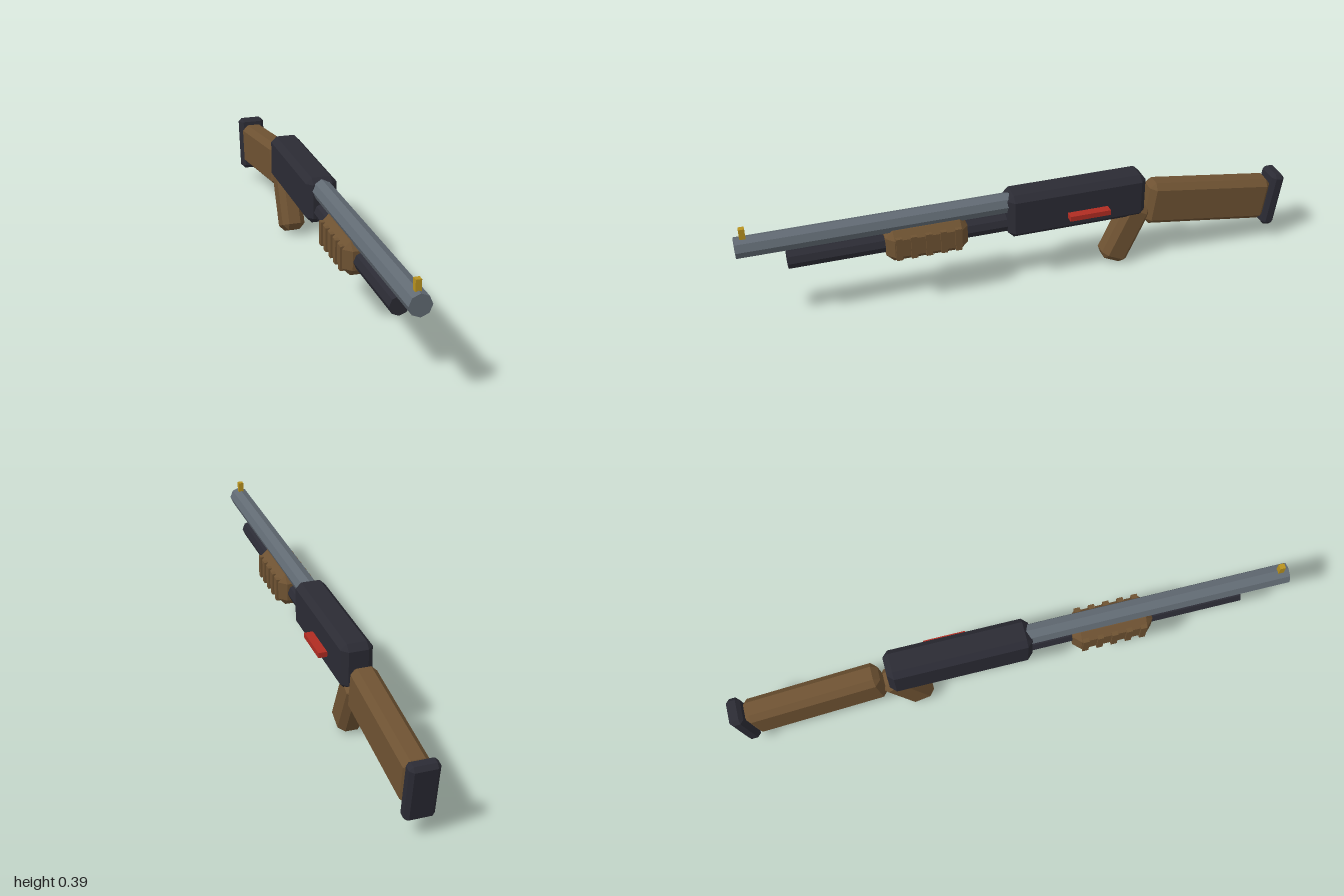
import * as THREE from 'three';
import { ConvexGeometry } from 'three/addons/geometries/ConvexGeometry.js';

const CX = -0.011; // centre line of the body

function material(name, color) {
  const m = new THREE.MeshStandardMaterial({ color, flatShading: true });
  m.name = name;
  return m;
}

// Box with every edge cut at 45 degrees by c
function chamferBox(w, h, d, c) {
  const points = [];
  for (const x of [-w / 2, w / 2]) for (const y of [-h / 2, h / 2]) for (const z of [-d / 2, d / 2]) {
    const ix = x - Math.sign(x) * c, iy = y - Math.sign(y) * c, iz = z - Math.sign(z) * c;
    points.push(new THREE.Vector3(x, iy, iz), new THREE.Vector3(ix, y, iz), new THREE.Vector3(ix, iy, z));
  }
  return new ConvexGeometry(points);
}

// Eight-sided tube lying along z
function tube(radius, z0, z1) {
  return new THREE.CylinderGeometry(radius, radius, z1 - z0, 8).rotateX(Math.PI / 2).translate(0, 0, (z0 + z1) / 2);
}

export function createModel() {
  const group = new THREE.Group();
  const wood = material('wood', 0x6e5232);
  const dark = material('dark metal', 0x2b2b34);
  const steel = material('steel', 0x616a73);
  const red = material('red', 0xb02c22);
  const gold = material('gold', 0xb8921f);

  function add(name, geometry, mat, x, y, z, tilt = 0) {
    const mesh = new THREE.Mesh(geometry, mat);
    mesh.name = name;
    mesh.position.set(x, y, z);
    mesh.rotation.x = tilt;
    group.add(mesh);
  }

  // Receiver, barrel and magazine tube
  add('receiver', chamferBox(0.11, 0.166, 0.512, 0.021), dark, CX, 0.281, -0.185);
  add('barrel', tube(0.037, 0, 1), steel, CX, 0.321, 0);
  add('magazineTube', tube(0.0325, 0, 0.835), dark, CX, 0.242, 0);

  // Sliding grip with raised ribs
  add('forend', chamferBox(0.12, 0.118, 0.288, 0.026), wood, CX, 0.245, 0.361);
  for (let i = 0; i < 5; i++) {
    add('forendRib', new THREE.BoxGeometry(0.133, 0.084, 0.022), wood, CX, 0.245, 0.361 + (i - 2) * 0.052);
  }

  // Stock and butt pad slope down to the rear
  const slope = -THREE.MathUtils.degToRad(8);
  add('stock', chamferBox(0.09, 0.165, 0.49, 0.021), wood, CX, 0.198, -0.7, slope);
  add('buttPad', chamferBox(0.1, 0.21, 0.05, 0.013), dark, CX, 0.163, -0.962, slope);

  // Grip leans forward at the bottom
  add('grip', chamferBox(0.086, 0.24, 0.105, 0.021), wood, CX, 0.122, -0.38, -THREE.MathUtils.degToRad(25));

  // Side handle and front sight
  add('sideHandle', new THREE.BoxGeometry(0.04, 0.019, 0.15), red, 0.055, 0.262, -0.217);
  add('frontSight', new THREE.BoxGeometry(0.019, 0.042, 0.02), gold, CX, 0.371, 0.97);

  return group;
}
